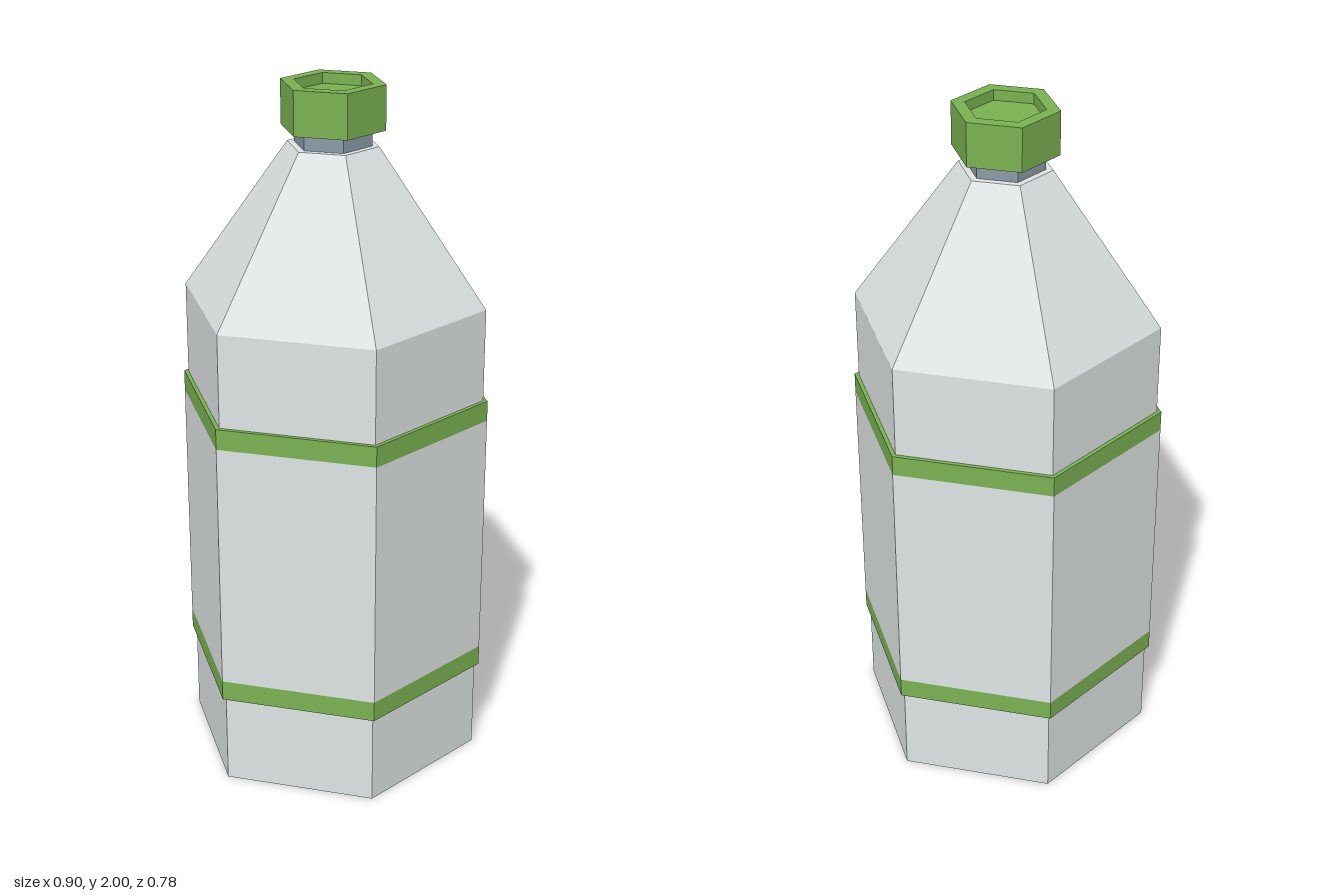
import * as THREE from 'three';

const flat = (name, color) => {
  const m = new THREE.MeshStandardMaterial({ color, flatShading: true });
  m.name = name;
  return m;
};

// Six-sided turned part from [radius, y] pairs, listed bottom to top on the outside
function hexPart(name, profile, material) {
  const points = profile.map(([r, y]) => new THREE.Vector2(r, y));
  const mesh = new THREE.Mesh(new THREE.LatheGeometry(points, 6, Math.PI / 2), material);
  mesh.name = name;
  return mesh;
}

export function createModel() {
  const white = flat('pale plastic', 0xdfe5e4);
  const grey = flat('blue grey plastic', 0x8b9ca6);
  const green = flat('green plastic', 0x7ab252);

  const group = new THREE.Group();
  group.name = 'bottle';

  // Base with a sloping hollow
  group.add(hexPart('base', [[0, 0.06], [0.15, 0.06], [0.35, 0], [0.437, 0]], grey));

  // Straight body, tapered shoulder and flat ledge
  group.add(hexPart('body', [[0.437, 0], [0.437, 1.39], [0.13, 1.83], [0.1, 1.83]], white));

  // Label sleeve with a green band at each end
  group.add(hexPart('label', [[0.45, 0.33], [0.45, 1.06]], white));
  for (const [name, y] of [['lowerBand', 0.27], ['upperBand', 1.06]]) {
    group.add(hexPart(name, [[0.43, y], [0.45, y], [0.45, y + 0.06], [0.43, y + 0.06]], green));
  }

  // Neck
  group.add(hexPart('neck', [[0.11, 1.83], [0.11, 1.88]], grey));

  // Cap with a shallow recess in its top
  group.add(hexPart('cap', [
    [0, 1.875], [0.148, 1.875], [0.148, 2], [0.11, 2], [0.11, 1.97], [0, 1.97],
  ], green));

  return group;
}
